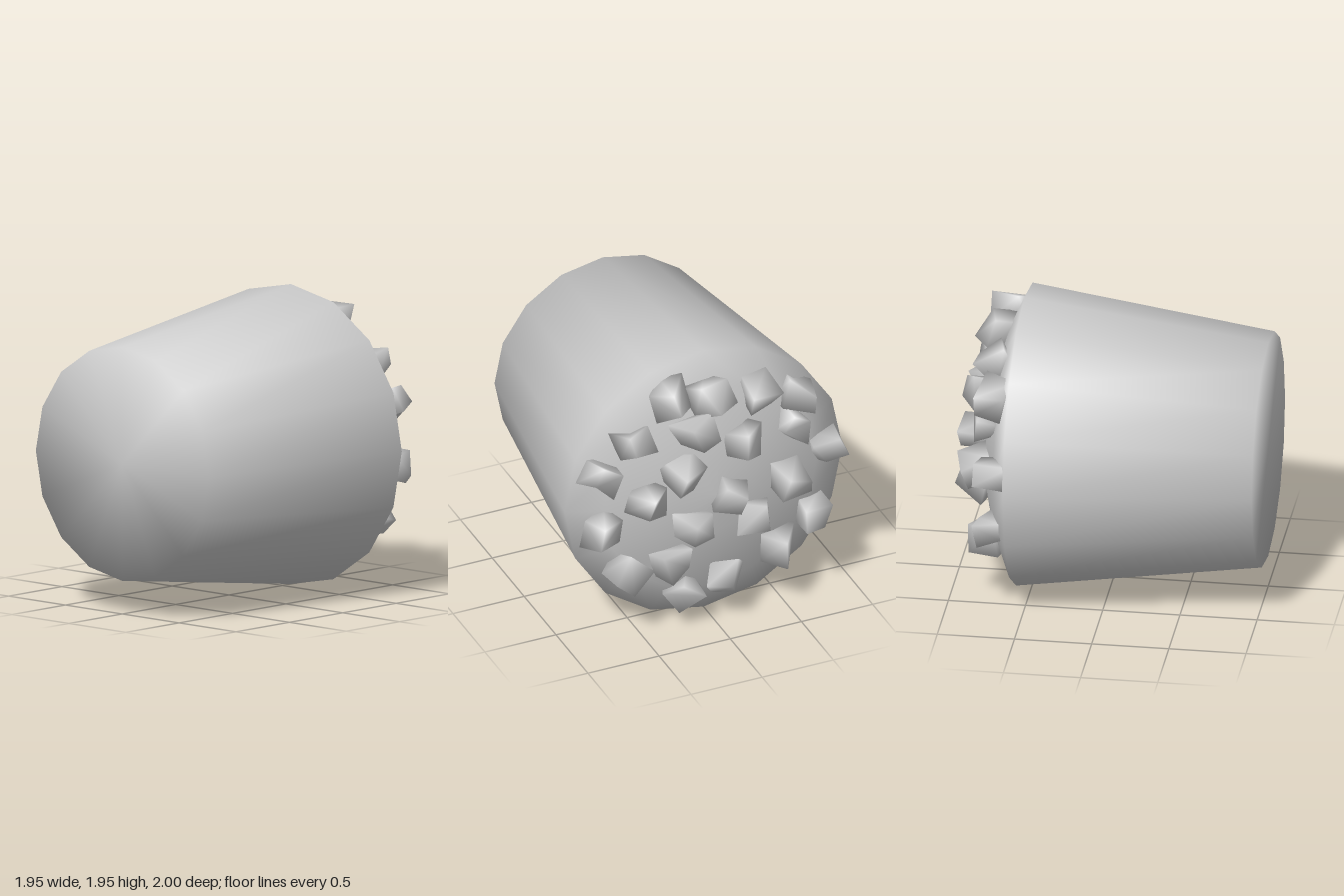
import * as THREE from 'three';
import { mergeVertices } from 'three/addons/utils/BufferGeometryUtils.js';

const SIDES = 16;
const AXIS_Y = 0.975;

// Height of the domed filling along z at a given distance from the axis
const domeZ = (r) => -0.82 + 0.255 * r * r;

// Seeded pseudo-random numbers
function seeded(seed) {
  let s = seed;
  return () => {
    s = (s * 16807) % 2147483647;
    return s / 2147483647;
  };
}

// Chunky lump: a cube with shifted corners, turned at random, softly shaded
function lump(size, random) {
  let geometry = new THREE.BoxGeometry(size, size, size);
  geometry.deleteAttribute('normal');
  geometry.deleteAttribute('uv');
  geometry = mergeVertices(geometry);
  const p = geometry.attributes.position;
  const shift = () => (random() - 0.5) * size * 0.4;
  for (let i = 0; i < p.count; i++) {
    p.setXYZ(i, p.getX(i) + shift(), p.getY(i) + shift(), p.getZ(i) + shift());
  }
  geometry.rotateX(random() * 6.28).rotateY(random() * 6.28);
  geometry.computeVertexNormals();
  return geometry;
}

export function createModel() {
  const model = new THREE.Group();
  const material = new THREE.MeshStandardMaterial({ color: 0xcccccc });
  const add = (name, geometry, parent) => {
    const mesh = new THREE.Mesh(geometry, material);
    mesh.name = name;
    parent.add(mesh);
    return mesh;
  };

  // Closed tapered cup lying on its side: domed filling at the back, flat base at the front
  const profile = [0, 0.25, 0.5, 0.75].map((r) => new THREE.Vector2(r, domeZ(r)));
  profile.push(new THREE.Vector2(0.975, -0.58), new THREE.Vector2(0.76, 1), new THREE.Vector2(0, 1));
  const cup = new THREE.LatheGeometry(profile, SIDES).rotateX(Math.PI / 2);
  add('cup', cup, model).position.y = AXIS_Y;

  // Lumps scattered over the dome: [x, height from the axis]
  const topping = new THREE.Group();
  topping.name = 'topping';
  topping.position.y = AXIS_Y;
  model.add(topping);
  const spots = [
    [0.28, 0.75], [0.03, 0.73], [0.54, 0.5], [0.14, 0.52], [-0.31, 0.67], [0.75, 0.28],
    [0.27, 0.25], [-0.18, 0.38], [-0.62, 0.55], [-0.56, 0.37], [0.5, 0.07], [0.77, -0.12],
    [-0.05, 0.02], [0.2, -0.16], [-0.5, 0], [-0.83, 0.1], [0.6, -0.48], [0.32, -0.43],
    [-0.23, -0.2], [0.22, -0.73], [-0.08, -0.67], [-0.45, -0.52], [-0.69, -0.36],
  ];
  const random = seeded(41);
  for (const [x, y] of spots) {
    const z = domeZ(Math.hypot(x, y)) - 0.04;
    add('lump', lump(0.18, random), topping).position.set(x, y, z);
  }
  return model;
}
